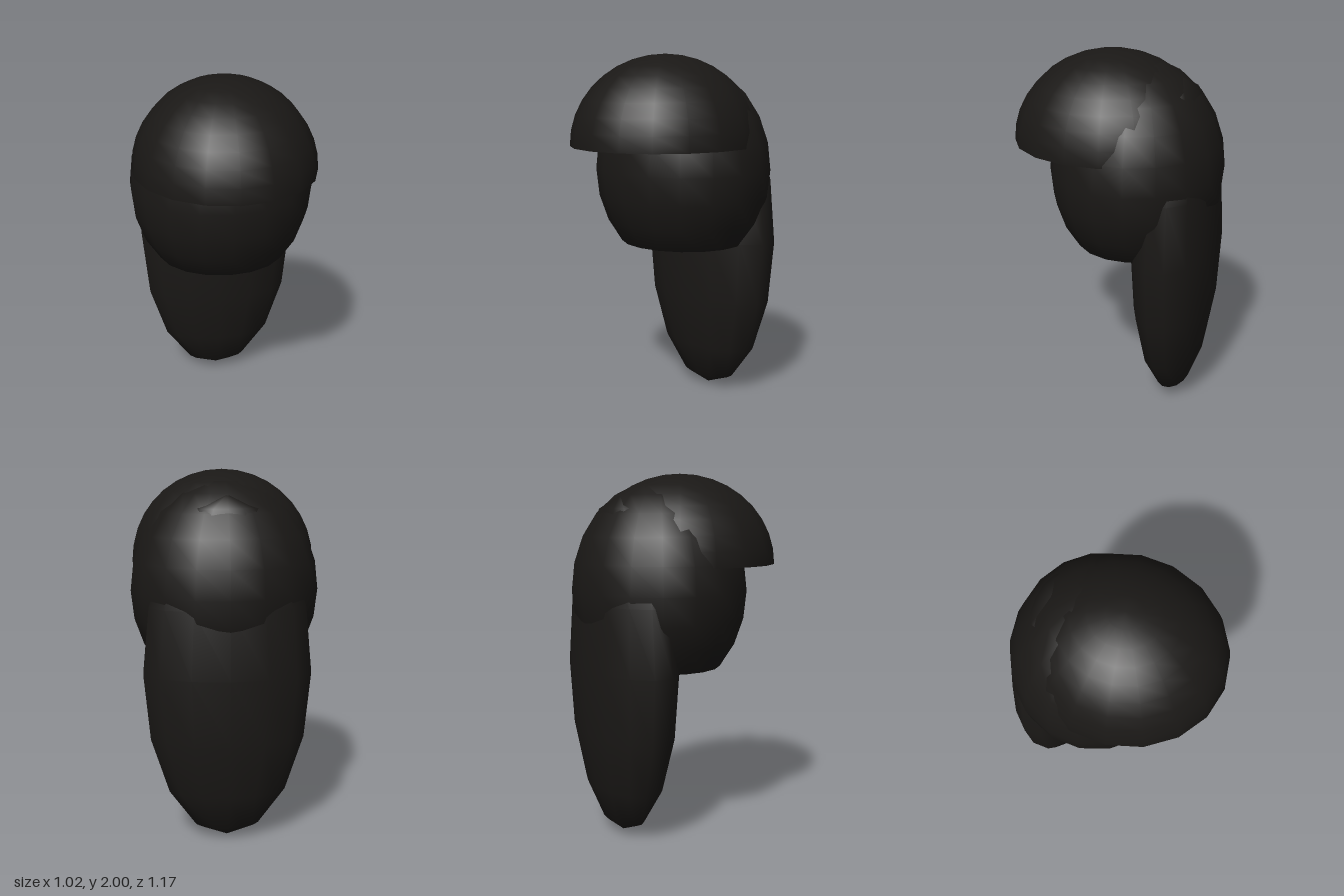
import * as THREE from 'three';

export function createModel() {
  const group = new THREE.Group();
  group.name = 'hair';
  const material = new THREE.MeshStandardMaterial({ color: 0x1a1816, side: THREE.DoubleSide });

  // Stretched sphere, optionally cut open at the bottom, with a column of vertices facing front
  function addLock(name, segments, rings, thetaLength, radii, position) {
    const geometry = new THREE.SphereGeometry(1, segments, rings, 0, Math.PI * 2, 0, thetaLength);
    geometry.rotateY(Math.PI / 2);
    geometry.scale(...radii);
    const mesh = new THREE.Mesh(geometry, material);
    mesh.name = name;
    mesh.position.set(...position);
    group.add(mesh);
  }

  // Main hair around the head, open at the neck
  addLock('scalpHair', 18, 9, Math.PI * 0.75, [0.518, 0.6, 0.48], [0, 1.36, -0.105]);
  // Half dome overhanging the forehead
  addLock('fringe', 18, 9, Math.PI * 0.5, [0.508, 0.5, 0.55], [0, 1.5, 0.037]);
  // Long hair hanging down the back
  addLock('backHair', 14, 8, Math.PI, [0.46, 0.94, 0.236], [0, 0.94, -0.343]);

  return group;
}
